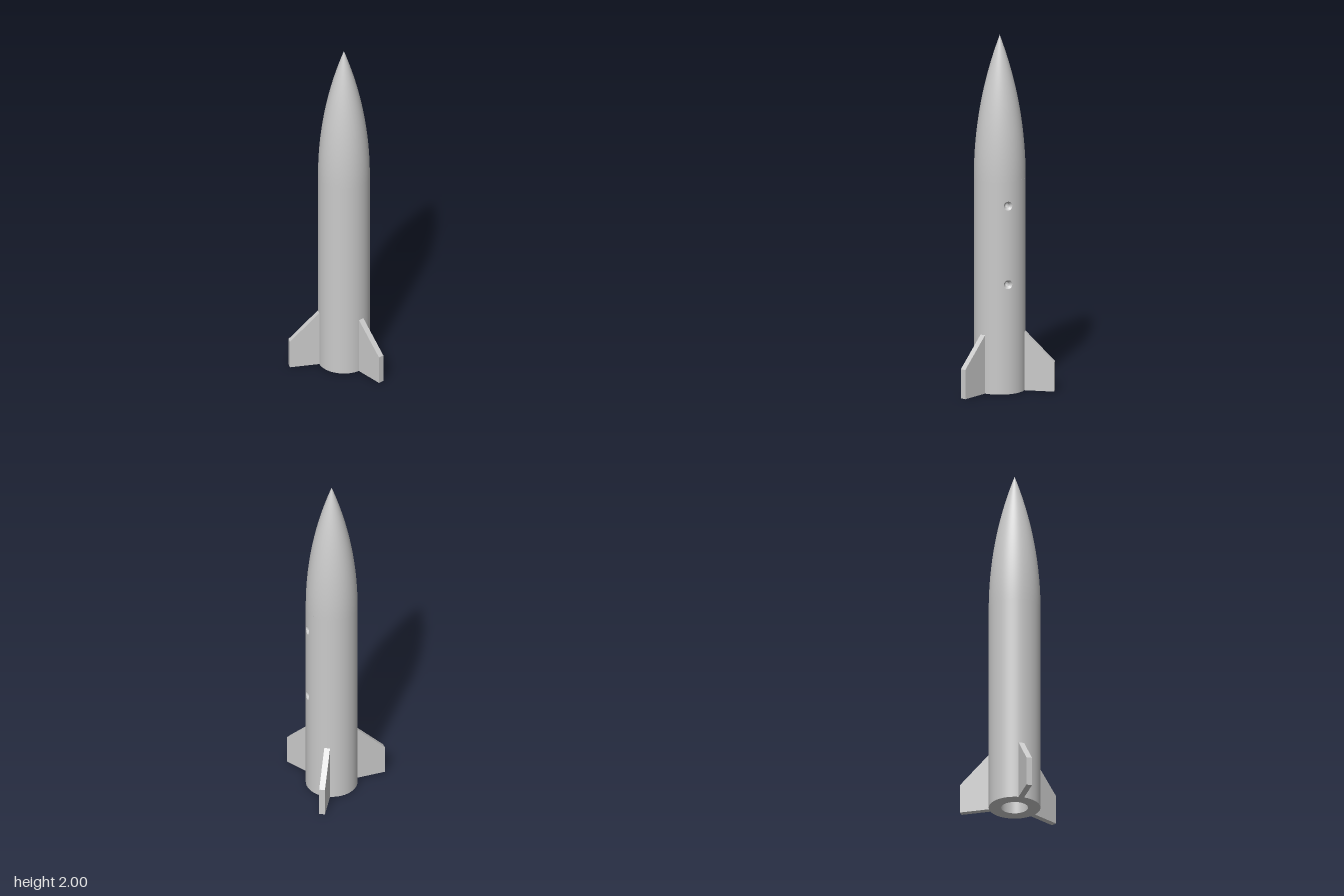
import * as THREE from 'three';
import { ParametricGeometry } from 'three/addons/geometries/ParametricGeometry.js';

export function createModel() {
  const R = 0.142, SHOULDER = 1.2, TOP = 2, BORE = 0.074, BORE_DEPTH = 0.6;
  const HOLE_PHI = Math.PI * 5 / 6, HOLE_HEIGHTS = [0.62, 1.065];
  const PANEL = 0.04, SINK = 0.025, SCREW = 0.014;
  const grey = new THREE.MeshStandardMaterial({ color: 0xcacaca, side: THREE.DoubleSide });
  grey.name = 'light grey';

  const rocket = new THREE.Group();
  rocket.name = 'rocket';
  rocket.position.x = -0.07;

  const add = (name, geometry) => {
    const mesh = new THREE.Mesh(geometry, grey);
    mesh.name = name;
    rocket.add(mesh);
    return mesh;
  };
  const lathe = (name, points, segments = 72, start = 0, length = Math.PI * 2) =>
    add(name, new THREE.LatheGeometry(points.map(p => new THREE.Vector2(...p)), segments, start, length));

  // Tangent ogive nose
  const length = TOP - SHOULDER;
  const rho = (R * R + length * length) / (2 * R);
  const nose = [];
  for (let i = 0; i <= 32; i++) {
    const h = length * i / 32;
    nose.push([Math.max(0, Math.sqrt(rho * rho - h * h) + R - rho), SHOULDER + h]);
  }
  lathe('noseCone', nose);

  // Body tube, leaving a narrow strip for the screw holes
  const half = PANEL / R;
  lathe('bodyTube', [[R, 0], [R, SHOULDER]], 72, HOLE_PHI + half, Math.PI * 2 - 2 * half);
  const edges = [0, ...HOLE_HEIGHTS.flatMap(y => [y - PANEL, y + PANEL]), SHOULDER];
  for (let i = 0; i < edges.length; i += 2) {
    lathe('bodyStrip', [[R, edges[i]], [R, edges[i + 1]]], 8, HOLE_PHI - half, 2 * half);
  }

  // Ring surface around a hole, wrapped onto the tube; rule(t, angle) gives [radius, depth]
  const wrappedRing = (name, y, rows, rule) => add(name, new ParametricGeometry((s, t, out) => {
    const a = s * Math.PI * 2;
    const [r, depth] = rule(t, a);
    const phi = HOLE_PHI + r * Math.cos(a) / R;
    out.set((R - depth) * Math.sin(phi), y + r * Math.sin(a), (R - depth) * Math.cos(phi));
  }, 48, rows));

  // Countersunk screw holes, each in a square panel of the tube
  for (const y of HOLE_HEIGHTS) {
    wrappedRing('holePanel', y, 4, (t, a) => {
      const square = PANEL / Math.max(Math.abs(Math.cos(a)), Math.abs(Math.sin(a)));
      return [square + (SINK - square) * t, 0];
    });
    wrappedRing('countersink', y, 2, t => [SINK + (SCREW - SINK) * t, 0.013 * t]);
    wrappedRing('screwBore', y, 1, t => [SCREW, 0.013 + 0.04 * t]);
    wrappedRing('screwBoreFloor', y, 1, t => [SCREW * (1 - t), 0.053]);
  }

  // Tail ring and motor bore
  lathe('tailRing', [[BORE, 0], [R, 0]]);
  lathe('motorBore', [[BORE, BORE_DEPTH], [BORE, 0]]);
  lathe('motorBoreEnd', [[0, BORE_DEPTH], [BORE, BORE_DEPTH]]);

  // Three swept fins
  const thickness = 0.032;
  const outline = new THREE.Shape([[0.125, 0], [0.306, 0], [0.306, 0.165], [0.141, 0.33], [0.125, 0.33]]
    .map(p => new THREE.Vector2(...p)));
  const finGeometry = new THREE.ExtrudeGeometry(outline, { depth: thickness, bevelEnabled: false });
  finGeometry.translate(0, 0, -thickness / 2);
  for (let i = 0; i < 3; i++) {
    add('fin', finGeometry).rotation.y = i * Math.PI * 2 / 3;
  }

  const model = new THREE.Group();
  model.name = 'model';
  model.add(rocket);
  return model;
}
